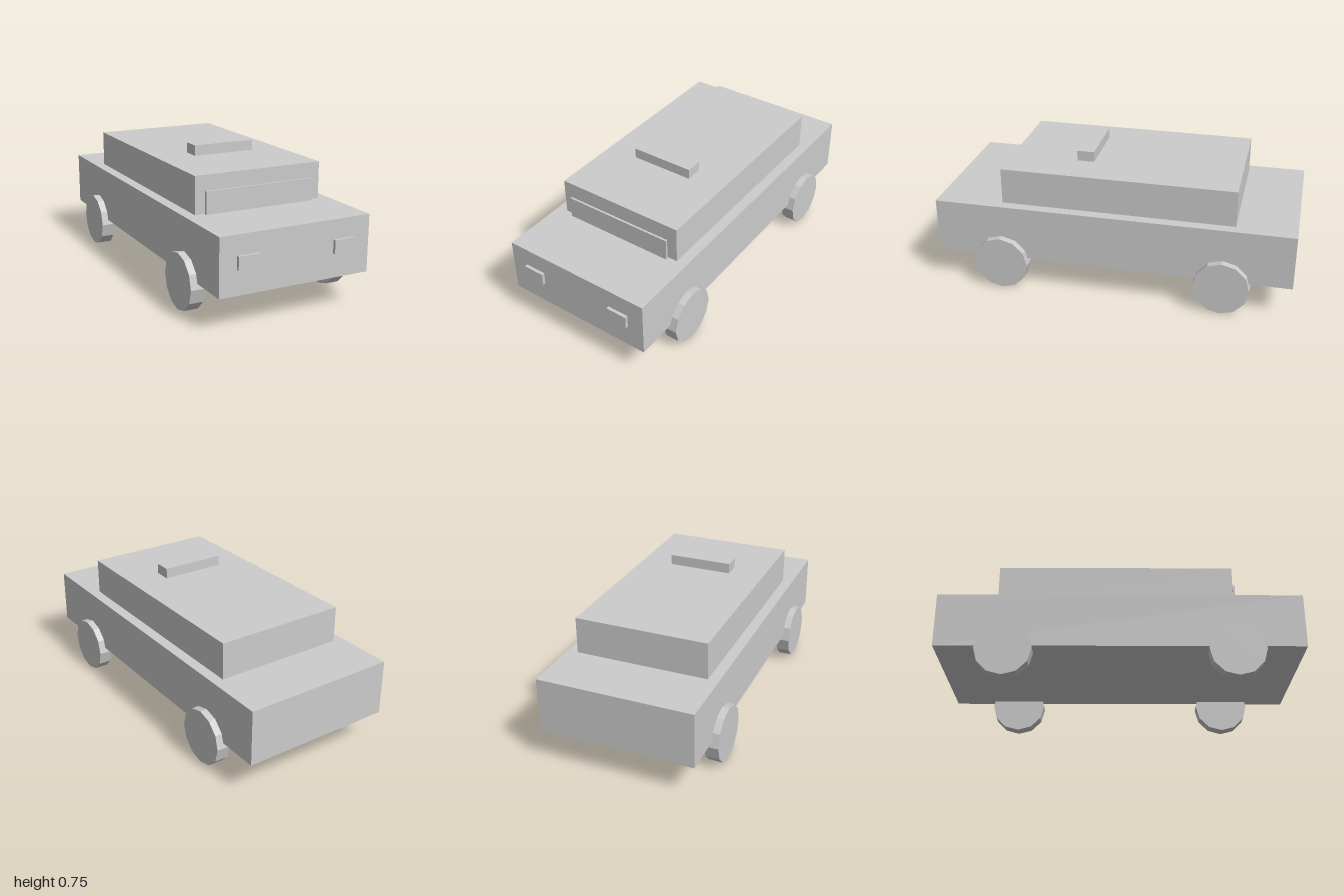
import * as THREE from 'three';

export function createModel() {
  const car = new THREE.Group();
  car.name = 'car';
  const grey = new THREE.MeshStandardMaterial({ color: 0xcccccc, flatShading: true });
  grey.name = 'light grey';

  // Box given by its lower and upper limits on each axis
  function box(name, [x0, x1], [y0, y1], [z0, z1]) {
    const mesh = new THREE.Mesh(new THREE.BoxGeometry(x1 - x0, y1 - y0, z1 - z0), grey);
    mesh.position.set((x0 + x1) / 2, (y0 + y1) / 2, (z0 + z1) / 2);
    mesh.name = name;
    car.add(mesh);
  }

  box('body', [-0.425, 0.425], [0.181, 0.486], [-1, 0.983]);
  box('cabin', [-0.366, 0.366], [0.486, 0.687], [-0.678, 0.612]);
  box('windshield', [-0.314, 0.314], [0.486, 0.607], [0.621, 0.633]);
  box('roofSign', [-0.178, 0.178], [0.696, 0.753], [0.135, 0.23]);

  // Headlights and twelve-sided wheels, mirrored left and right
  const wheelGeometry = new THREE.CylinderGeometry(0.153, 0.153, 0.076, 12).rotateZ(Math.PI / 2);
  for (const side of [1, -1]) {
    const label = side > 0 ? 'Left' : 'Right';
    const xs = [0.213 * side, 0.331 * side].sort((a, b) => a - b);
    box('headlight' + label, xs, [0.311, 0.382], [0.975, 1]);
    for (const [end, z] of [['front', 0.61], ['rear', -0.623]]) {
      const wheel = new THREE.Mesh(wheelGeometry, grey);
      wheel.position.set(0.426 * side, 0.153, z);
      wheel.name = `${end}Wheel${label}`;
      car.add(wheel);
    }
  }
  return car;
}
